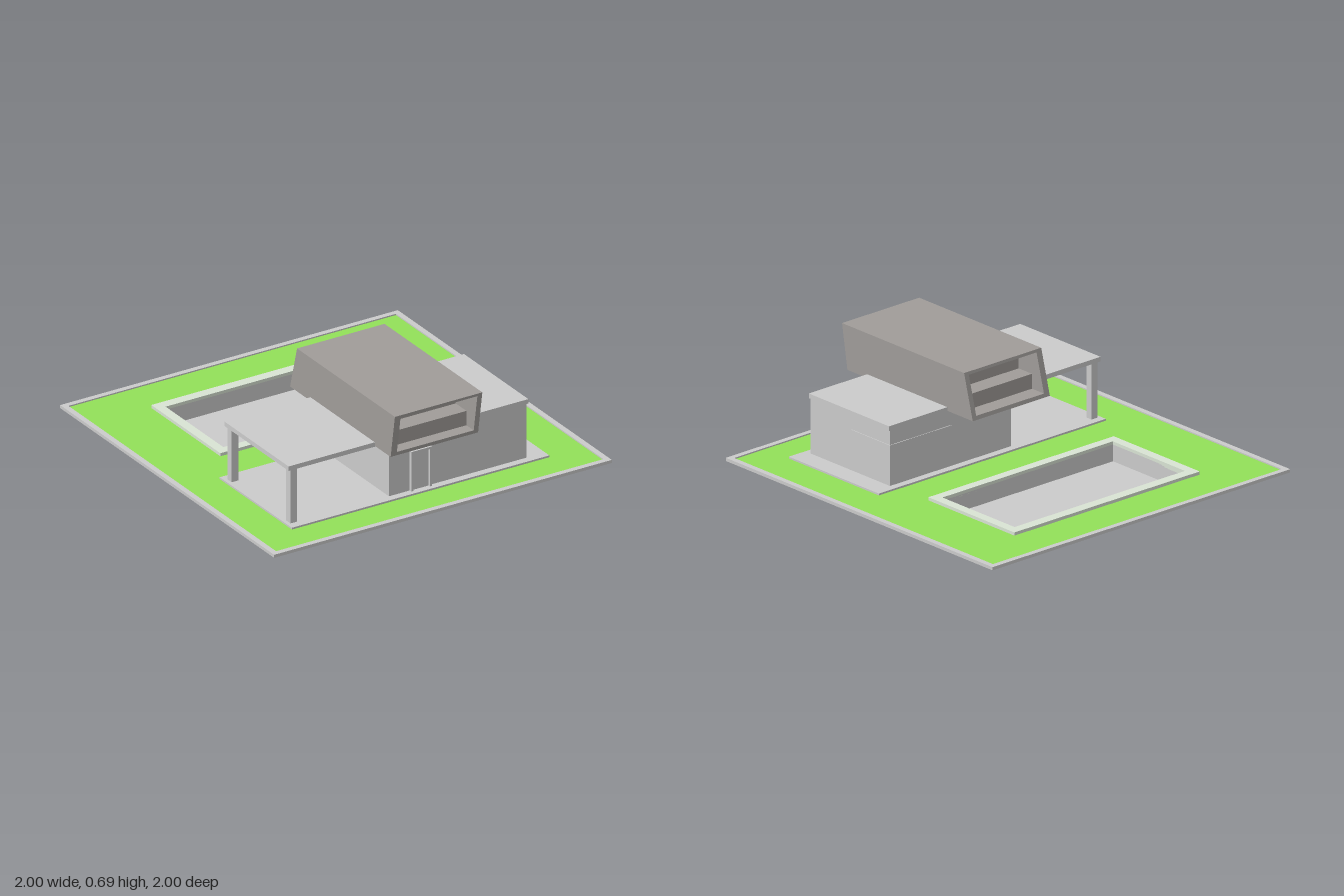
import * as THREE from 'three';

const paint = (color) => new THREE.MeshStandardMaterial({ color });
const grey = paint(0xcccccc);
const green = paint(0x92e058);
const taupe = paint(0xa09c99);
const stone = paint(0xd9e4d4);

export function createModel() {
  const house = new THREE.Group();
  house.name = 'houseWithPool';

  function add(name, geometry, material = grey) {
    const mesh = new THREE.Mesh(geometry, material);
    mesh.name = name;
    house.add(mesh);
    return mesh;
  }

  // Box given by its limits on each axis
  function block(name, [x0, x1], [y0, y1], [z0, z1], material) {
    const geometry = new THREE.BoxGeometry(x1 - x0, y1 - y0, z1 - z0);
    geometry.translate((x0 + x1) / 2, (y0 + y1) / 2, (z0 + z1) / 2);
    return add(name, geometry, material);
  }

  // Rectangle with rectangular hole, extruded; limits are [u0, u1, v0, v1]
  function ring(outer, inner, depth) {
    const corners = ([u0, u1, v0, v1]) => [[u0, v0], [u1, v0], [u1, v1], [u0, v1]]
      .map(([u, v]) => new THREE.Vector2(u, v));
    const shape = new THREE.Shape(corners(outer));
    shape.holes.push(new THREE.Path(corners(inner).reverse()));
    return new THREE.ExtrudeGeometry(shape, { depth, bevelEnabled: false });
  }

  // Ring lying flat between two heights; v limits are z
  function flatRing(name, outer, inner, y0, y1, material) {
    const flip = ([x0, x1, z0, z1]) => [x0, x1, -z1, -z0];
    const geometry = ring(flip(outer), flip(inner), y1 - y0);
    geometry.rotateX(-Math.PI / 2).translate(0, y0, 0);
    return add(name, geometry, material);
  }

  // Plot
  const poolOuter = [-0.58, 0.575, -0.69, -0.14];
  const poolInner = [-0.575, 0.57, -0.685, -0.145];
  flatRing('lawn', [-0.97, 0.97, -0.97, 0.97], poolOuter, 0.122, 0.13, green);
  flatRing('plotBorder', [-1, 1, -1, 1], [-0.97, 0.97, -0.97, 0.97], 0.12, 0.137);

  // Pool
  flatRing('poolWalls', poolOuter, poolInner, 0, 0.13);
  block('poolFloor', [-0.575, 0.57], [0, 0.04], [-0.685, -0.145]);
  flatRing('poolRim', [-0.625, 0.62, -0.74, -0.095], poolInner, 0.12, 0.147, stone);

  // Ground floor
  block('patio', [-0.765, 0.76], [0.12, 0.14], [0.12, 0.795]);
  block('groundFloor', [-0.165, 0.65], [0.11, 0.45], [0.16, 0.755]);
  block('flatRoof', [-0.76, 0.66], [0.44, 0.465], [0.155, 0.757]);
  block('cornerWindow', [0.24, 0.654], [0.25, 0.36], [0.156, 0.45]);
  for (const z of [0.18, 0.73]) {
    block('canopyPost', [-0.745, -0.705], [0.12, 0.445], [z - 0.02, z + 0.02]);
  }

  // Front door and its frame
  block('door', [-0.03, 0.07], [0.13, 0.35], [0.74, 0.758]);
  for (const x of [-0.042, 0.068]) {
    block('doorJamb', [x, x + 0.014], [0.12, 0.36], [0.75, 0.77]);
  }
  block('doorLintel', [-0.042, 0.082], [0.348, 0.36], [0.75, 0.77]);

  // Upper floor: open tube whose ends lean with height
  const tube = ring([-0.25, 0.268, 0.445, 0.685], [-0.215, 0.24, 0.465, 0.67], 1);
  const p = tube.attributes.position;
  for (let i = 0; i < p.count; i++) {
    const t = (p.getY(i) - 0.445) / 0.24;
    const back = -0.035 + 0.065 * t;
    const front = 0.905 + 0.04 * t;
    p.setZ(i, back + (front - back) * p.getZ(i));
  }
  tube.computeVertexNormals();
  add('upperFloorShell', tube, taupe);
  block('upperFloorLedge', [-0.22, 0.245], [0.46, 0.545], [0.06, 0.84], taupe);
  block('upperFloorWall', [-0.22, 0.245], [0.54, 0.675], [0.16, 0.74], taupe);

  return house;
}
